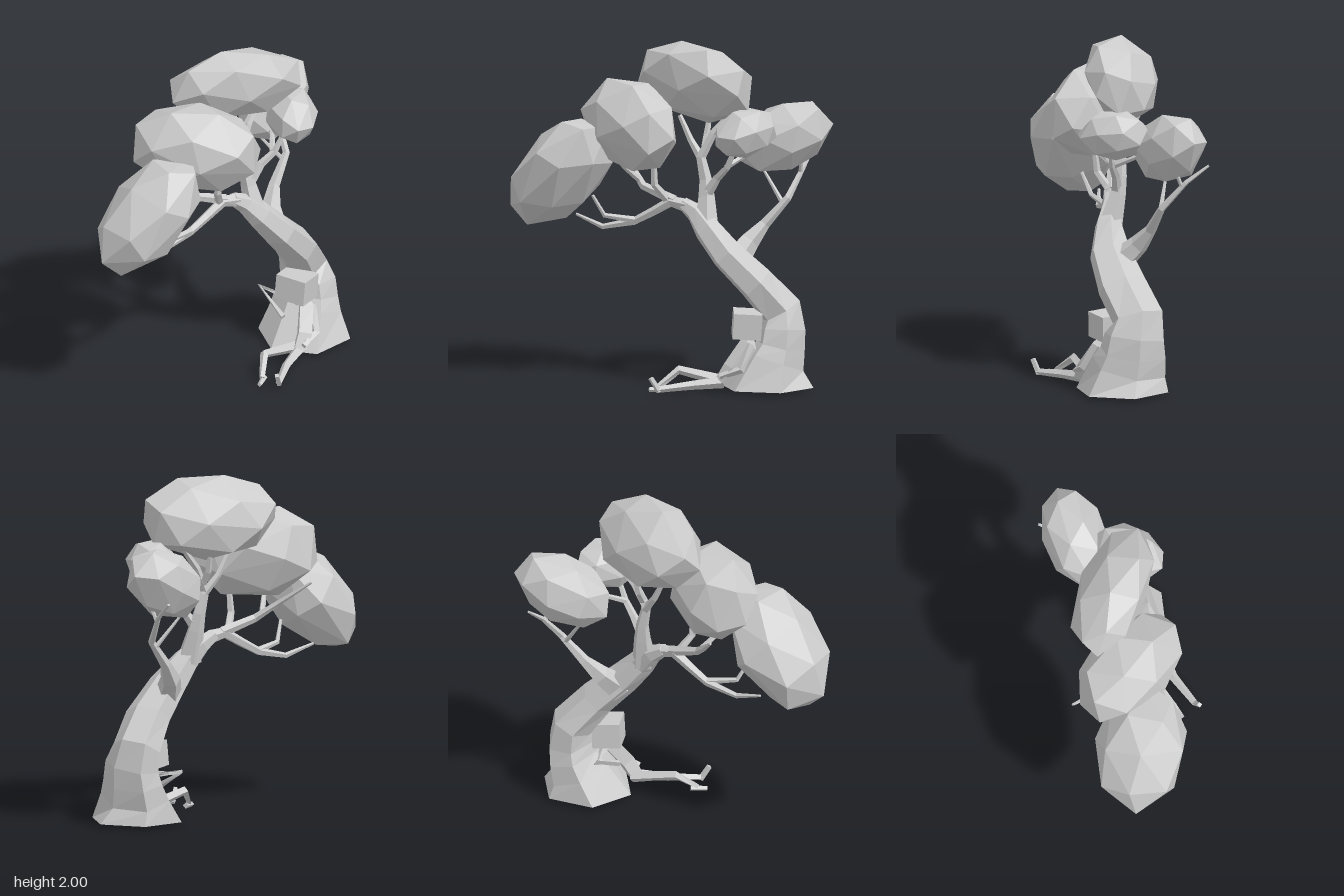
import * as THREE from 'three';
import { ConvexGeometry } from 'three/addons/geometries/ConvexGeometry.js';

const material = new THREE.MeshStandardMaterial({ color: 0xcccccc, flatShading: true });
const V = (x, y, z) => new THREE.Vector3(x, y, z);

function add(parent, name, geometry) {
  const mesh = new THREE.Mesh(geometry, material);
  mesh.name = name;
  parent.add(mesh);
  return mesh;
}

// Closed faceted limb through points [x, y, z, radius, depth radius]
function limb(path, sides, flatStart = false) {
  const pts = path.map(p => V(p[0], p[1], p[2]));
  const rings = path.map(([, , , radius, depth = radius], i) => {
    const t = pts[Math.min(i + 1, pts.length - 1)].clone()
      .sub(pts[Math.max(i - 1, 0)]).normalize();
    if (flatStart && i === 0) t.set(0, 1, 0);
    const u = t.clone().cross(Math.abs(t.z) > 0.9 ? V(1, 0, 0) : V(0, 0, 1)).normalize();
    const w = u.clone().cross(t);
    return Array.from({ length: sides }, (_, k) => {
      const a = k / sides * Math.PI * 2;
      return pts[i].clone().addScaledVector(u, Math.cos(a) * radius)
        .addScaledVector(w, Math.sin(a) * depth);
    });
  });
  const tris = [];
  const last = rings.length - 1;
  for (let k = 0; k < sides; k++) {
    const n = (k + 1) % sides;
    for (let i = 0; i < last; i++) {
      const a = rings[i], b = rings[i + 1];
      tris.push(a[k], b[k], a[n], a[n], b[k], b[n]);
    }
    tris.push(pts[0], rings[0][k], rings[0][n], pts[last], rings[last][n], rings[last][k]);
  }
  const geometry = new THREE.BufferGeometry().setFromPoints(tris);
  geometry.computeVertexNormals();
  return geometry;
}

// Faceted leaf mass: spiral of points, sheared, hulled and fitted to a box
function leafMass(min, max, [shearXY, shearXZ, shearYZ], turn) {
  const count = 23;
  const spin = new THREE.Euler(turn, turn * 1.7, turn * 0.6);
  const pts = Array.from({ length: count }, (_, i) => {
    const y = 1 - 2 * (i + 0.5) / count, r = Math.sqrt(1 - y * y), a = i * 2.39996;
    const p = V(Math.cos(a) * r, y, Math.sin(a) * r).applyEuler(spin);
    p.z += shearXZ * p.x + shearYZ * p.y;
    p.y += shearXY * p.x;
    return p;
  });
  const box = new THREE.Box3().setFromPoints(pts);
  const size = box.getSize(V(0, 0, 0));
  const low = V(...min), span = V(...max).sub(low);
  pts.forEach(p => p.sub(box.min).divide(size).multiply(span).add(low));
  return new ConvexGeometry(pts);
}

export function createModel() {
  const model = new THREE.Group();
  model.name = 'treeWithSitter';

  // Leaning trunk with a flared foot, tapering into the long branch
  const tree = new THREE.Group();
  tree.name = 'tree';
  model.add(tree);
  add(tree, 'trunk', limb([
    [0.62, 0.018, 0.045, 0.275], [0.66, 0.16, 0.015, 0.175, 0.23], [0.69, 0.25, 0.0, 0.145, 0.205],
    [0.7, 0.345, -0.005, 0.135, 0.185], [0.685, 0.455, -0.03, 0.125, 0.155], [0.55, 0.62, 0.03, 0.108, 0.15],
    [0.385, 0.78, 0.055, 0.095, 0.125], [0.26, 0.92, 0.03, 0.08], [0.18, 1.01, -0.01, 0.058], [0.1, 1.06, -0.03, 0.038],
  ], 6, true));

  // Branches and their twigs
  const branches = {
    longBranch: [[0.13, 1.045, -0.02, 0.042], [0.03, 1.065, -0.04, 0.034], [-0.08, 1.0, -0.06, 0.028],
      [-0.2, 0.935, -0.08, 0.024], [-0.39, 0.895, -0.09, 0.017], [-0.56, 0.955, -0.14, 0.008]],
    longBranchTwig: [[-0.18, 0.94, -0.08, 0.022], [-0.37, 0.97, -0.04, 0.015], [-0.43, 1.09, 0, 0.01]],
    backBranch: [[0.05, 1.07, -0.04, 0.032], [-0.15, 1.14, -0.1, 0.025], [-0.24, 1.23, -0.2, 0.018], [-0.35, 1.36, -0.37, 0.008]],
    backBranchTwig: [[-0.18, 1.17, -0.13, 0.02], [-0.25, 1.25, -0.06, 0.015], [-0.33, 1.36, 0, 0.012]],
    uprightTwig: [[0.0, 1.08, -0.04, 0.026], [-0.06, 1.17, 0.01, 0.022], [-0.06, 1.34, 0.03, 0.016]],
    topBranch: [[0.25, 0.92, 0.02, 0.075], [0.24, 1.1, -0.03, 0.05], [0.23, 1.2, -0.05, 0.038],
      [0.2, 1.33, -0.06, 0.03], [0.27, 1.47, -0.07, 0.025], [0.38, 1.6, -0.08, 0.015]],
    topBranchTwig: [[0.21, 1.31, -0.06, 0.028], [0.13, 1.42, -0.1, 0.02], [0.06, 1.56, -0.12, 0.014]],
    innerTwig: [[0.22, 1.36, -0.06, 0.024], [0.22, 1.45, -0.12, 0.02], [0.23, 1.56, -0.15, 0.014]],
    frontBranch: [[0.23, 1.1, -0.03, 0.036], [0.31, 1.22, 0, 0.025], [0.38, 1.29, 0.04, 0.02], [0.44, 1.42, 0.07, 0.012]],
    frontBranchTwig: [[0.37, 1.29, 0.03, 0.018], [0.48, 1.36, -0.08, 0.014], [0.55, 1.42, -0.18, 0.01]],
    sideBranch: [[0.41, 0.72, 0.02, 0.085], [0.48, 0.84, -0.09, 0.06], [0.56, 0.94, -0.14, 0.034],
      [0.69, 1.09, -0.17, 0.022], [0.75, 1.25, -0.3, 0.015], [0.78, 1.35, -0.43, 0.008]],
    sideBranchTwig: [[0.66, 1.06, -0.17, 0.015], [0.53, 1.24, -0.24, 0.008]],
    sideBranchUpperTwig: [[0.74, 1.22, -0.28, 0.013], [0.76, 1.36, -0.22, 0.009]],
  };
  for (const [name, path] of Object.entries(branches)) add(tree, name, limb(path, 5));

  // Crown of five leaf masses
  [
    [[-0.935, 0.9, -0.26], [-0.31, 1.535, 0.27], [0.55, 0.1, 0.25], 0.3],
    [[-0.52, 1.26, -0.33], [0.1, 1.77, 0.29], [-0.1, 0.5, 0], 1.1],
    [[-0.21, 1.52, -0.34], [0.51, 2.0, 0.185], [-0.1, 0.6, 0.3], 2.0],
    [[0.38, 1.225, -0.425], [0.93, 1.64, -0.04], [0.35, -0.2, 0], 2.9],
    [[0.335, 1.35, -0.13], [0.66, 1.635, 0.26], [0.12, -0.35, 0], 3.8],
  ].forEach((spec, i) => add(tree, 'leafMass' + (i + 1), leafMass(...spec)));

  // Sitter leaning back against the trunk
  const sitter = new THREE.Group();
  sitter.name = 'sitter';
  model.add(sitter);
  const head = add(sitter, 'head', new THREE.BoxGeometry(0.165, 0.15, 0.19));
  head.position.set(0.51, 0.385, 0.09);
  head.rotation.set(0.06, 0.27, -0.08);
  const body = {
    torso: [[0.4, 0.06, 0.225, 0.05], [0.45, 0.14, 0.215, 0.055], [0.53, 0.27, 0.15, 0.055], [0.53, 0.32, 0.12, 0.025]],
    frontArm: [[0.55, 0.28, 0.18, 0.028], [0.51, 0.14, 0.25, 0.025], [0.39, 0.1, 0.265, 0.018]],
    backArm: [[0.53, 0.27, 0.08, 0.028], [0.47, 0.305, -0.17, 0.02], [0.43, 0.2, 0.06, 0.018]],
    bentLeg: [[0.4, 0.06, 0.18, 0.035], [0.13, 0.12, 0.2, 0.026], [0.03, 0.03, 0.28, 0.018]],
    straightLeg: [[0.4, 0.06, 0.22, 0.035], [0.22, 0.045, 0.29, 0.026], [0.05, 0.03, 0.395, 0.018]],
    bentLegFoot: [[0.065, 0.019, 0.265, 0.019], [-0.02, 0.014, 0.31, 0.014]],
    straightLegFoot: [[0.06, 0.018, 0.39, 0.018], [0.015, 0.1, 0.415, 0.016]],
  };
  for (const [name, path] of Object.entries(body)) add(sitter, name, limb(path, 4));

  return model;
}
